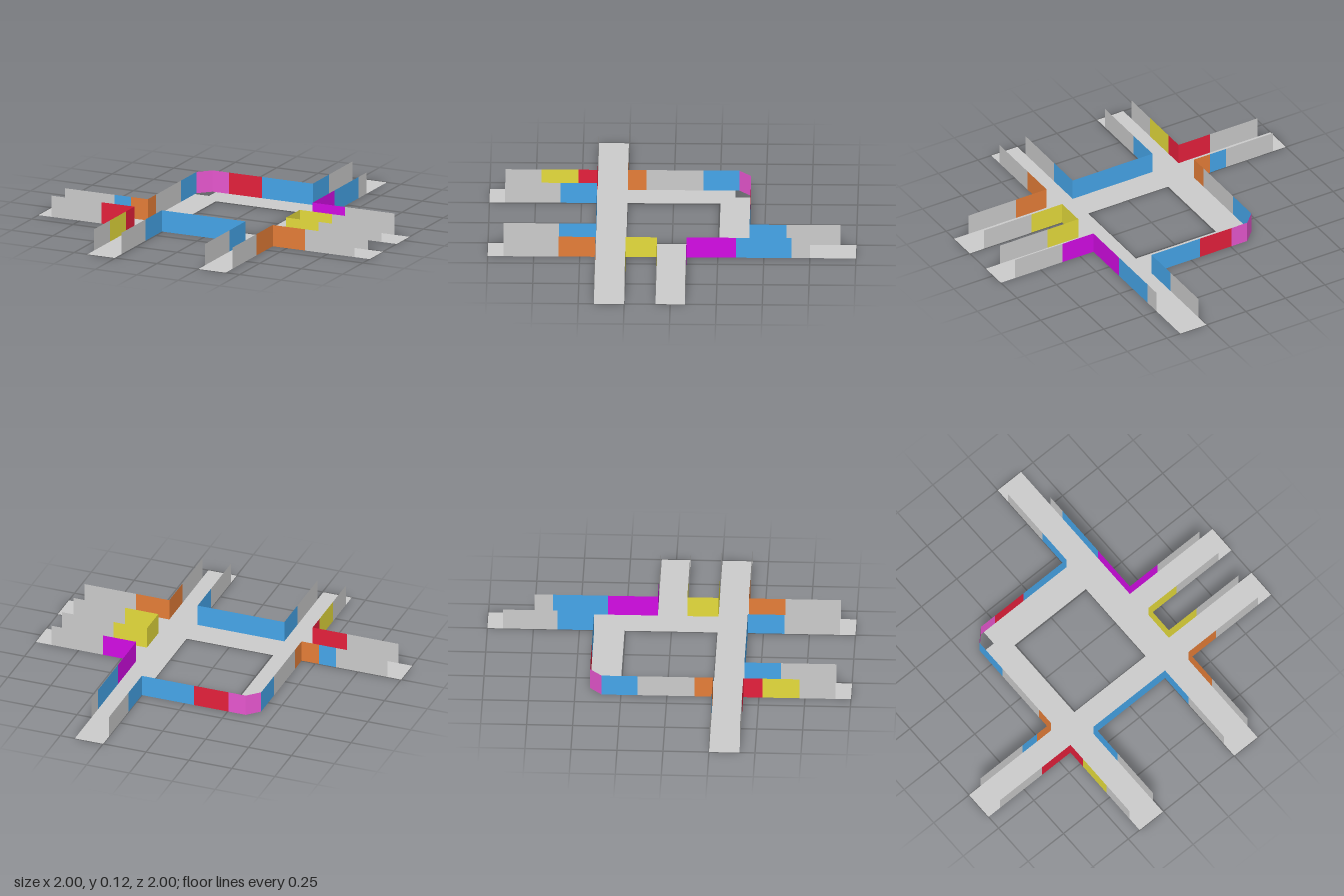
import * as THREE from 'three';

const HEIGHT = 0.12;
const GREY = 0xcccccc, BLUE = 0x46a6ea, RED = 0xe6203c, ORANGE = 0xe67e38;
const YELLOW = 0xe6dc3c, MAGENTA = 0xd40ce6, PINK = 0xe857d0;

const materials = new Map();
function material(color) {
  if (!materials.has(color)) {
    materials.set(color, new THREE.MeshStandardMaterial({ color, side: THREE.DoubleSide, flatShading: true }));
  }
  return materials.get(color);
}

// Upright panels following a ground path: start [x, z], then [x, z, color] per panel
function wallRun(name, start, ...panels) {
  const run = new THREE.Group();
  run.name = name;
  let [x0, z0] = start;
  for (const [x1, z1, color] of panels) {
    const geometry = new THREE.PlaneGeometry(Math.hypot(x1 - x0, z1 - z0), HEIGHT);
    const panel = new THREE.Mesh(geometry, material(color));
    panel.name = 'wallPanel';
    panel.position.set((x0 + x1) / 2, HEIGHT / 2, (z0 + z1) / 2);
    panel.rotation.y = Math.atan2(z0 - z1, x1 - x0);
    run.add(panel);
    [x0, z0] = [x1, z1];
  }
  return run;
}

// Flat corridor floor: outer outline with the square courtyard cut out
function floor() {
  const toPlan = ([x, z]) => new THREE.Vector2(x, -z);
  const shape = new THREE.Shape([
    [-0.42, 1], [-0.255, 1], [-0.255, 0.415], [0.25, 0.415], [0.25, 1], [0.415, 1],
    [0.415, 0.415], [1, 0.415], [1, 0.25], [0.415, 0.25], [0.415, 0.08], [1, 0.08],
    [1, -0.08], [0.415, -0.08], [0.415, -1], [0.25, -1], [0.25, -0.42], [-0.335, -0.42],
    [-0.335, -0.335], [-0.42, -0.335], [-0.42, 0.25], [-1, 0.25], [-1, 0.415], [-0.42, 0.415],
  ].map(toPlan));
  shape.holes.push(new THREE.Path(
    [[-0.255, -0.255], [0.25, -0.255], [0.25, 0.25], [-0.255, 0.25]].map(toPlan)));
  const mesh = new THREE.Mesh(new THREE.ShapeGeometry(shape).rotateX(-Math.PI / 2), material(GREY));
  mesh.name = 'corridorFloor';
  return mesh;
}

export function createModel() {
  const model = new THREE.Group();
  model.name = 'corridorJunction';
  model.add(
    floor(),
    // Long wall around the back right, with the chamfered corner
    wallRun('backRightWall', [-0.92, 0.25],
      [-0.62, 0.25, GREY], [-0.52, 0.25, BLUE], [-0.42, 0.25, ORANGE],
      [-0.42, 0.15, ORANGE], [-0.42, -0.16, GREY], [-0.42, -0.355, BLUE],
      [-0.355, -0.42, PINK],
      [-0.255, -0.42, PINK], [-0.055, -0.42, RED], [0.25, -0.42, BLUE],
      [0.25, -0.62, BLUE], [0.25, -0.915, GREY]),
    // Back left corner
    wallRun('backLeftWall', [0.415, -0.75],
      [0.415, -0.65, GREY], [0.415, -0.35, BLUE], [0.415, -0.08, MAGENTA],
      [0.61, -0.08, MAGENTA], [0.91, -0.08, GREY]),
    // Pocket between the two left corridors
    wallRun('leftPocketWall', [0.91, 0.08],
      [0.61, 0.08, GREY], [0.415, 0.08, YELLOW], [0.415, 0.25, YELLOW],
      [0.61, 0.25, YELLOW], [0.91, 0.25, GREY]),
    // Front left corner
    wallRun('frontLeftWall', [0.91, 0.415],
      [0.61, 0.415, GREY], [0.415, 0.415, ORANGE],
      [0.415, 0.615, ORANGE], [0.415, 0.915, GREY]),
    // Pocket between the two front corridors
    wallRun('frontPocketWall', [0.25, 0.915],
      [0.25, 0.615, GREY], [0.25, 0.415, BLUE], [-0.255, 0.415, BLUE],
      [-0.255, 0.615, BLUE], [-0.255, 0.915, GREY]),
    // Front right corner
    wallRun('frontRightWall', [-0.42, 0.915],
      [-0.42, 0.72, GREY], [-0.42, 0.52, YELLOW], [-0.42, 0.415, RED],
      [-0.62, 0.415, RED], [-0.92, 0.415, GREY]),
  );
  return model;
}
